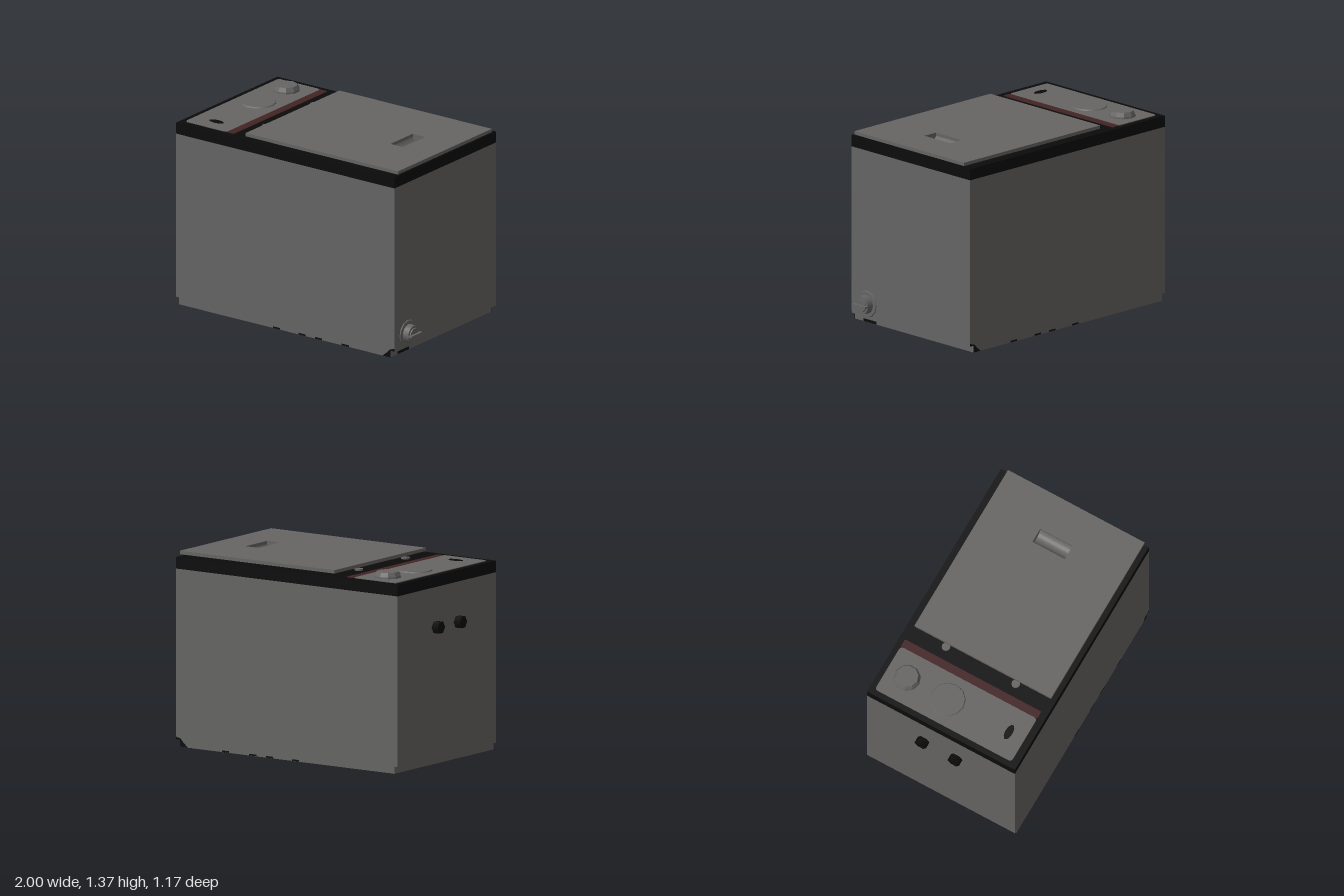
import * as THREE from 'three';

export function createModel() {
  const model = new THREE.Group();
  model.name = 'portableFridge';
  const mat = (name, color) => {
    const m = new THREE.MeshStandardMaterial({ color });
    m.name = name;
    return m;
  };
  const grey = mat('casing grey', 0x666564);
  const black = mat('trim black', 0x0b0b0b);
  const red = mat('accent dark red', 0x432424);

  const add = (name, geo, material) => {
    const mesh = new THREE.Mesh(geo, material);
    mesh.name = name;
    model.add(mesh);
    return mesh;
  };
  // Box given by its limits on each axis
  const box = (name, material, x0, x1, y0, y1, z0, z1) => {
    const geo = new THREE.BoxGeometry(x1 - x0, y1 - y0, z1 - z0);
    geo.translate((x0 + x1) / 2, (y0 + y1) / 2, (z0 + z1) / 2);
    return add(name, geo, material);
  };
  // Rectangle in the x/-z plane, with optional rounded corners
  const rect = (path, x0, x1, z0, z1, r = 0) => {
    const a = -z1, b = -z0;
    path.moveTo(x0 + r, a).lineTo(x1 - r, a);
    if (r) path.quadraticCurveTo(x1, a, x1, a + r);
    path.lineTo(x1, b - r);
    if (r) path.quadraticCurveTo(x1, b, x1 - r, b);
    path.lineTo(x0 + r, b);
    if (r) path.quadraticCurveTo(x0, b, x0, b - r);
    path.lineTo(x0, a + r);
    if (r) path.quadraticCurveTo(x0, a, x0 + r, a);
    return path;
  };
  // Horizontal plate, with an optional rectangular hole [x0, x1, z0, z1]
  const plate = (name, material, x0, x1, z0, z1, y0, y1, hole, r = 0) => {
    const shape = rect(new THREE.Shape(), x0, x1, z0, z1, r);
    if (hole) shape.holes.push(rect(new THREE.Path(), ...hole));
    const geo = new THREE.ExtrudeGeometry(shape, { depth: y1 - y0, bevelEnabled: false, curveSegments: 4 });
    geo.rotateX(-Math.PI / 2).translate(0, y0, 0);
    return add(name, geo, material);
  };
  // Cylinder lying along x
  const rod = (name, material, x0, x1, y, z, r0, r1, sides) => {
    const geo = new THREE.CylinderGeometry(r1, r0, x1 - x0, sides);
    geo.rotateZ(-Math.PI / 2).translate((x0 + x1) / 2, y, z);
    return add(name, geo, material);
  };

  // Casing and base
  box('casing', grey, -0.95, 0.92, 0.05, 1.24, -0.583, 0.583);
  box('base', grey, -0.925, 0.885, 0, 0.05, -0.583, 0.583);

  // Black rim, lid seal and lid, all pierced for the grip
  const grip = [0.55, 0.66, -0.125, 0.13];
  const wide = [0.545, 0.665, -0.13, 0.135];
  plate('topRim', black, -0.95, 0.92, -0.583, 0.583, 1.24, 1.32, wide);
  plate('lidSeal', black, -0.26, 0.76, -0.42, 0.43, 1.32, 1.332, wide);
  plate('lid', grey, -0.38, 0.925, -0.53, 0.548, 1.332, 1.356, grip);

  // Hollowed grip below the lid
  const trough = new THREE.Shape();
  trough.moveTo(0.545, 1.28).lineTo(0.665, 1.28).lineTo(0.665, 1.334).lineTo(0.66, 1.334);
  trough.quadraticCurveTo(0.64, 1.295, 0.605, 1.295);
  trough.quadraticCurveTo(0.57, 1.295, 0.55, 1.334);
  trough.lineTo(0.545, 1.334);
  const troughGeo = new THREE.ExtrudeGeometry(trough, { depth: 0.255, bevelEnabled: false, curveSegments: 5 });
  add('gripTrough', troughGeo.translate(0, 0, -0.125), grey);
  box('gripEnd', grey, 0.545, 0.665, 1.28, 1.333, -0.13, -0.125);
  box('gripEnd', grey, 0.545, 0.665, 1.28, 1.333, 0.13, 0.135);

  // Hinges behind the lid and latches at its free edge
  for (const z of [-0.27, 0.28]) {
    const geo = new THREE.CylinderGeometry(0.03, 0.03, 0.012, 12);
    add('hinge', geo.translate(-0.4, 1.326, z), grey);
  }
  box('lidCatch', black, 0.8, 0.82, 1.32, 1.332, -0.03, 0.06);

  // Control panel with its red stripe
  plate('controlPanel', grey, -0.91, -0.55, -0.543, 0.533, 1.32, 1.325, null, 0.025);
  plate('panelStripe', red, -0.55, -0.49, -0.543, 0.533, 1.32, 1.324, null, 0.012);

  // Dial, low round cover and dark oval on the panel
  const dial = new THREE.LatheGeometry(
    [[0.095, 1.32], [0.093, 1.337], [0.078, 1.366], [0, 1.366]].map(([r, y]) => new THREE.Vector2(r, y)), 10);
  const dialMesh = add('dial', dial.toNonIndexed(), grey);
  dialMesh.geometry.computeVertexNormals();
  dialMesh.position.set(-0.73, 0, -0.39);
  const cover = new THREE.CylinderGeometry(0.118, 0.125, 0.01, 12);
  add('roundCover', cover.translate(-0.73, 1.328, -0.07), grey);
  const oval = new THREE.CylinderGeometry(1, 1, 0.004, 16);
  add('panelOval', oval.scale(0.058, 1, 0.026).translate(-0.73, 1.326, 0.413), black);

  // Hexagonal pegs on the end wall
  for (const z of [-0.135, 0.125]) rod('endPeg', black, -1, -0.95, 0.962, z, 0.045, 0.045, 6);

  // Drain plug with its turning fin
  rod('drainFlange', grey, 0.92, 0.926, 0.143, 0.43, 0.095, 0.092, 12);
  rod('drainCap', grey, 0.926, 0.972, 0.143, 0.43, 0.065, 0.063, 16);
  rod('drainHub', grey, 0.972, 0.98, 0.143, 0.43, 0.047, 0.045, 16);
  box('drainFin', grey, 0.972, 1, 0.137, 0.149, 0.367, 0.493);

  // Dark scuffs at the lower corners and edges
  const corner = new THREE.Shape();
  corner.moveTo(0.82, 0.001).lineTo(0.886, 0.001).lineTo(0.886, 0.05).lineTo(0.92, 0.05);
  corner.lineTo(0.92, 0.068).lineTo(0.88, 0.058).lineTo(0.855, 0.03);
  for (const z of [-0.585, 0.583]) {
    const geo = new THREE.ExtrudeGeometry(corner, { depth: 0.002, bevelEnabled: false });
    add('cornerScuff', geo.translate(0, 0, z), black);
  }
  box('endScuff', black, 0.885, 0.887, 0.001, 0.02, 0.37, 0.5);
  for (const x of [-0.09, 0.13, 0.27, 0.5]) {
    for (const z of [-0.584, 0.584]) box('edgeScuff', black, x - 0.03, x + 0.03, 0.001, 0.012, z - 0.001, z + 0.001);
  }
  return model;
}
